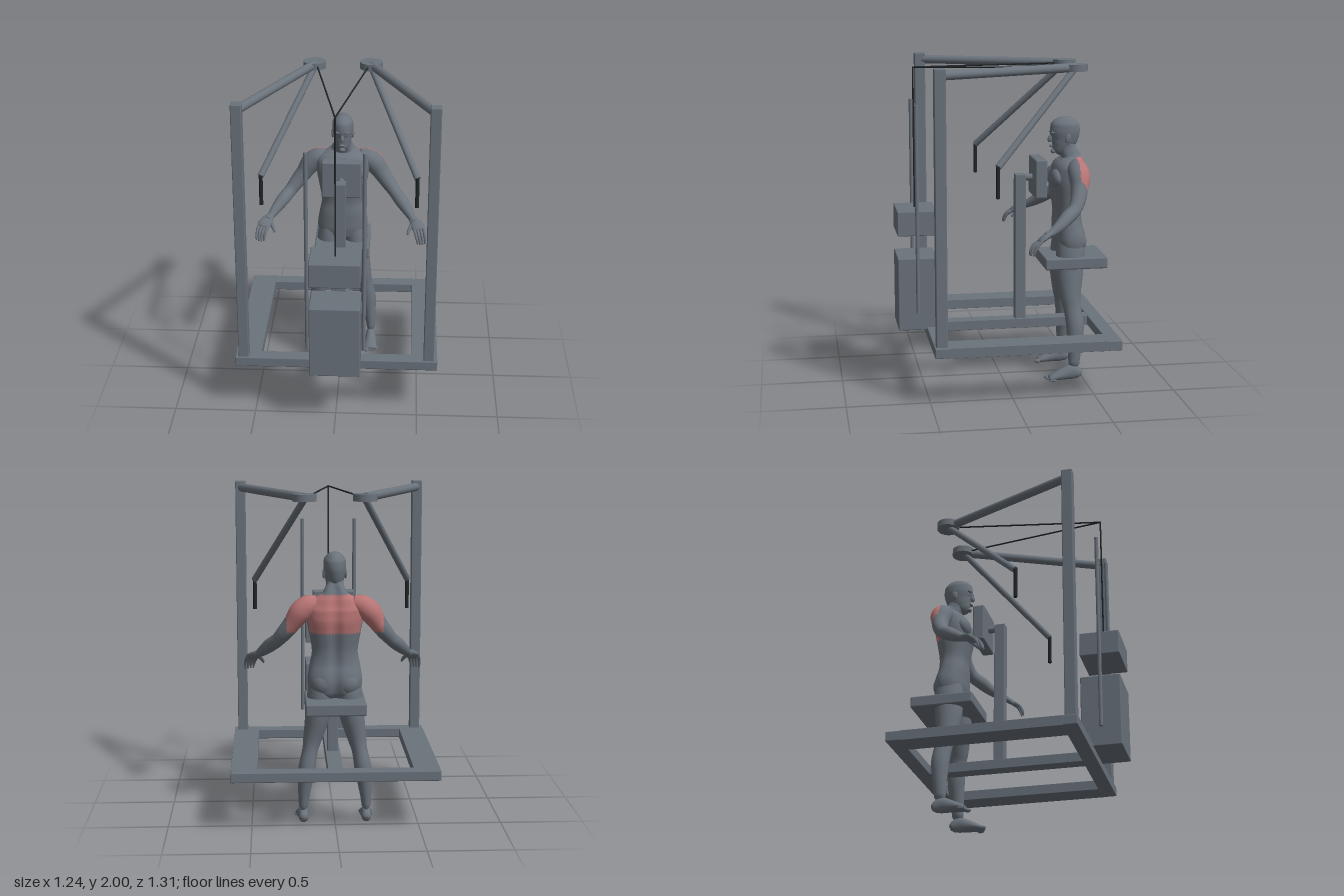
import * as THREE from 'three';
import { RoundedBoxGeometry } from 'three/addons/geometries/RoundedBoxGeometry.js';

const V = (x, y, z) => new THREE.Vector3(x, y, z);

export function createModel() {
  const model = new THREE.Group();
  const machine = new THREE.Group(), figure = new THREE.Group();
  machine.name = 'machine';
  figure.name = 'figure';
  model.add(machine, figure);

  const mat = (name, color) => {
    const m = new THREE.MeshStandardMaterial({ color });
    m.name = name;
    return m;
  };
  const grey = mat('steel grey', 0x6a727b);
  const red = mat('muscle red', 0xb87474);
  const black = mat('cable black', 0x202527);

  const add = (parent, name, geo, material = grey) => {
    const mesh = new THREE.Mesh(geo, material);
    mesh.name = name;
    parent.add(mesh);
    return mesh;
  };
  // Box given by its minimum and maximum on each axis
  const box = (name, x0, x1, y0, y1, z0, z1, r = 0.006) => {
    const m = add(machine, name, new RoundedBoxGeometry(x1 - x0, y1 - y0, z1 - z0, 2, r));
    m.position.set((x0 + x1) / 2, (y0 + y1) / 2, (z0 + z1) / 2);
  };
  // Straight round bar between two points
  const rod = (name, a, b, r, material = grey, sides = 20) => {
    const m = add(machine, name, new THREE.CylinderGeometry(r, r, a.distanceTo(b), sides), material);
    m.position.copy(a).add(b).multiplyScalar(0.5);
    m.quaternion.setFromUnitVectors(V(0, 1, 0), b.clone().sub(a).normalize());
  };
  const ball = (name, x, y, z, rx, ry, rz) => {
    const m = add(figure, name, new THREE.SphereGeometry(1, 20, 14));
    m.position.set(x, y, z);
    m.scale.set(rx, ry, rz);
    return m;
  };

  // Smooth body through rows of [x, y, z, half width, half depth]
  function loft(name, rows, { s = 1, side = V(1, 0, 0), steps = 32, segs = 28, pow = 1, shape, isRed } = {}) {
    const path = new THREE.CatmullRomCurve3(rows.map(r => V(r[0] * s, r[1], r[2])));
    const size = new THREE.CatmullRomCurve3(rows.map(r => V(r[3], r[4] ?? r[3], 0)));
    const sq = v => Math.sign(v) * Math.abs(v) ** pow;
    const pts = [];
    for (let i = 0; i <= steps; i++) {
      const c = path.getPoint(i / steps), w = size.getPoint(i / steps), t = path.getTangent(i / steps);
      const u = side.clone().addScaledVector(t, -side.dot(t)).normalize();
      const v = t.clone().cross(u);
      for (let j = 0; j < segs; j++) {
        const a = (j / segs) * Math.PI * 2;
        const p = c.clone().addScaledVector(u, w.x * sq(Math.cos(a))).addScaledVector(v, w.y * sq(Math.sin(a)));
        if (shape) shape(p);
        pts.push(p);
      }
    }
    pts.push(path.getPoint(0), path.getPoint(1));
    const plain = [], marked = [];
    const tri = (a, b, c) => {
      const mid = pts[a].clone().add(pts[b]).add(pts[c]).divideScalar(3);
      (isRed && isRed(mid) ? marked : plain).push(a, b, c);
    };
    const n = steps * segs, end = pts.length - 1;
    for (let j = 0; j < segs; j++) {
      const k = (j + 1) % segs;
      for (let i = 0; i < n; i += segs) {
        tri(i + j, i + k, i + segs + j);
        tri(i + k, i + segs + k, i + segs + j);
      }
      tri(end - 1, k, j);
      tri(end, n + j, n + k);
    }
    const geo = new THREE.BufferGeometry().setFromPoints(pts);
    geo.setIndex([...plain, ...marked]);
    geo.addGroup(0, plain.length, 0);
    geo.addGroup(plain.length, marked.length, 1);
    geo.computeVertexNormals();
    return add(figure, name, geo, [grey, red]);
  }

  // Base frame
  box('frontRail', -0.62, 0.62, 0.307, 0.368, 0.39, 0.48);
  box('backRail', -0.62, 0.62, 0.307, 0.368, -0.645, -0.555);
  for (const s of [-1, 1]) box('sideRail', s * 0.5415 - 0.0785, s * 0.5415 + 0.0785, 0.307, 0.368, -0.56, 0.395, 0.002);
  box('centreRail', -0.045, 0.045, 0.307, 0.366, -0.56, 0.395, 0.002);

  // Weight stack, seat and chest support
  box('weightStack', -0.152, 0.152, 0.352, 0.805, 0.408, 0.652);
  box('liftedWeight', -0.152, 0.152, 0.945, 1.097, 0.408, 0.652);
  box('seat', -0.178, 0.178, 0.704, 0.776, -0.653, -0.26, 0.01);
  box('padPost', -0.033, 0.033, 0.36, 1.287, -0.16, -0.092);
  rod('padLink', V(0, 1.265, -0.13), V(0, 1.265, -0.22), 0.021);
  box('chestPad', -0.125, 0.125, 1.148, 1.388, -0.277, -0.203, 0.01);

  // Uprights, top arms, pulleys, swing arms, handles, guide rods and cables
  for (const s of [-1, 1]) {
    box('upright', s * 0.567 - 0.032, s * 0.567 + 0.032, 0.36, 1.998, 0.402, 0.47);
    rod('topArm', V(s * 0.567, 1.957, 0.435), V(s * 0.177, 1.957, -0.435), 0.027);
    const pulley = add(machine, 'pulley', new THREE.CylinderGeometry(0.071, 0.071, 0.042, 40));
    pulley.position.set(s * 0.177, 1.957, -0.436);
    rod('swingArm', V(s * 0.177, 1.945, -0.425), V(s * 0.476, 1.41, 0.085), 0.02);
    rod('handle', V(s * 0.476, 1.412, 0.087), V(s * 0.476, 1.223, 0.087), 0.012, black);
    rod('guideRod', V(s * 0.17, 0.47, 0.533), V(s * 0.17, 1.745, 0.533), 0.012);
    rod('topCable', V(s * 0.155, 1.957, -0.37), V(0, 1.957, 0.533), 0.005, black, 10);
  }
  rod('dropCable', V(0, 1.96, 0.533), V(0, 1.09, 0.533), 0.005, black, 10);

  // Torso and neck, with a groove down the back and a red upper back
  loft('torso', [
    [0, 0.775, -0.435, 0.11, 0.065], [0, 0.81, -0.436, 0.152, 0.088], [0, 0.88, -0.437, 0.163, 0.1],
    [0, 0.97, -0.425, 0.15, 0.09], [0, 1.05, -0.425, 0.136, 0.086], [0, 1.15, -0.425, 0.15, 0.1],
    [0, 1.25, -0.427, 0.168, 0.115], [0, 1.32, -0.438, 0.172, 0.103], [0, 1.37, -0.447, 0.13, 0.075],
    [0, 1.4, -0.445, 0.075, 0.062], [0, 1.44, -0.425, 0.053, 0.057], [0, 1.48, -0.413, 0.05, 0.055],
    [0, 1.53, -0.41, 0.045, 0.05],
  ], {
    steps: 80, segs: 64, pow: 0.85,
    shape: p => {
      if (p.z < -0.47) p.z += 0.02 * Math.min(1, (-0.47 - p.z) / 0.03) * Math.exp(-((p.x / 0.03) ** 2));
    },
    isRed: p => p.z < -0.462 && p.y > 1.17 && p.y < 1.395,
  });

  // Head and face
  loft('head', [
    [0, 1.41, -0.355, 0.018, 0.02], [0, 1.425, -0.365, 0.036, 0.042], [0, 1.46, -0.386, 0.051, 0.068],
    [0, 1.5, -0.402, 0.06, 0.085], [0, 1.55, -0.408, 0.067, 0.094], [0, 1.59, -0.409, 0.065, 0.09],
    [0, 1.62, -0.41, 0.047, 0.067], [0, 1.635, -0.41, 0.026, 0.038], [0, 1.641, -0.41, 0.002, 0.002],
  ], { steps: 40, segs: 36 });
  ball('nose', 0, 1.505, -0.317, 0.011, 0.026, 0.016).rotation.x = -0.35;
  ball('lips', 0, 1.458, -0.322, 0.02, 0.008, 0.01);
  ball('chin', 0, 1.424, -0.335, 0.02, 0.014, 0.015);

  for (const s of [-1, 1]) {
    ball('brow', s * 0.026, 1.543, -0.327, 0.022, 0.008, 0.012);
    ball('ear', s * 0.064, 1.51, -0.415, 0.009, 0.03, 0.018).rotation.x = -0.2;
    ball('chestMuscle', s * 0.07, 1.265, -0.347, 0.075, 0.06, 0.042);
    ball('buttock', s * 0.072, 0.865, -0.47, 0.075, 0.078, 0.066);

    // Arm, red behind the shoulder
    loft('arm', [
      [0.1, 1.345, -0.455, 0.045], [0.16, 1.325, -0.457, 0.064], [0.2, 1.295, -0.46, 0.066],
      [0.25, 1.225, -0.45, 0.053], [0.3, 1.16, -0.43, 0.047], [0.34, 1.112, -0.4, 0.041],
      [0.375, 1.08, -0.355, 0.042], [0.42, 1.035, -0.295, 0.034], [0.455, 1.0, -0.235, 0.023],
      [0.47, 0.988, -0.205, 0.022],
    ], {
      s, steps: 60, segs: 36, side: V(0, 1, 0.2),
      isRed: p => p.z < -0.455 && p.y > 1.17 && Math.abs(p.x) < 0.285,
    });

    // Hand with four curled fingers and a thumb
    loft('palm', [
      [0.452, 1.003, -0.24, 0.024, 0.02], [0.47, 0.99, -0.21, 0.034, 0.019],
      [0.488, 0.973, -0.178, 0.042, 0.017], [0.498, 0.958, -0.155, 0.036, 0.012],
    ], { s, steps: 14, segs: 18, side: V(s * 0.8, 0.35, -0.45) });
    for (let i = 0; i < 4; i++) {
      const f = i / 3, k = 0.01 * Math.sin(f * Math.PI);
      loft('finger', [
        [0.468 + 0.052 * f, 0.956 + 0.016 * f, -0.152 - 0.025 * f, 0.01],
        [0.478 + 0.053 * f, 0.935 + 0.01 * f, -0.122 - 0.022 * f + k, 0.0095],
        [0.486 + 0.05 * f, 0.905 + 0.004 * f, -0.107 - 0.018 * f + k, 0.008],
        [0.489 + 0.046 * f, 0.885 - 0.002 * f, -0.104 - 0.014 * f + k, 0.005],
      ], { s, steps: 10, segs: 10 });
    }
    loft('thumb', [
      [0.458, 0.99, -0.215, 0.014], [0.443, 0.968, -0.185, 0.012],
      [0.43, 0.945, -0.16, 0.01], [0.424, 0.93, -0.146, 0.006],
    ], { s, steps: 10, segs: 10 });

    // Leg
    loft('leg', [
      [0.08, 0.9, -0.435, 0.066, 0.08], [0.088, 0.78, -0.432, 0.078, 0.09], [0.105, 0.65, -0.425, 0.073, 0.084],
      [0.135, 0.51, -0.427, 0.055, 0.062], [0.15, 0.44, -0.437, 0.047, 0.055], [0.168, 0.34, -0.45, 0.051, 0.056],
      [0.182, 0.22, -0.447, 0.04, 0.045], [0.19, 0.1, -0.441, 0.027, 0.035], [0.19, 0.035, -0.443, 0.027, 0.035],
    ], { s, steps: 48 });

    // Foot and toes
    loft('foot', [
      [0.188, 0.03, -0.488, 0.012, 0.014], [0.189, 0.036, -0.475, 0.027, 0.031], [0.19, 0.048, -0.43, 0.031, 0.048],
      [0.192, 0.037, -0.37, 0.037, 0.037], [0.194, 0.023, -0.31, 0.041, 0.023], [0.195, 0.016, -0.28, 0.037, 0.014],
    ], { s, steps: 24 });
    for (let i = 0; i < 5; i++) {
      const r = i ? 0.0085 : 0.013;
      ball('toe', s * (0.166 + 0.0165 * i), r + 0.001, -0.276 - 0.007 * i, r, r, 0.021);
    }
  }
  return model;
}
